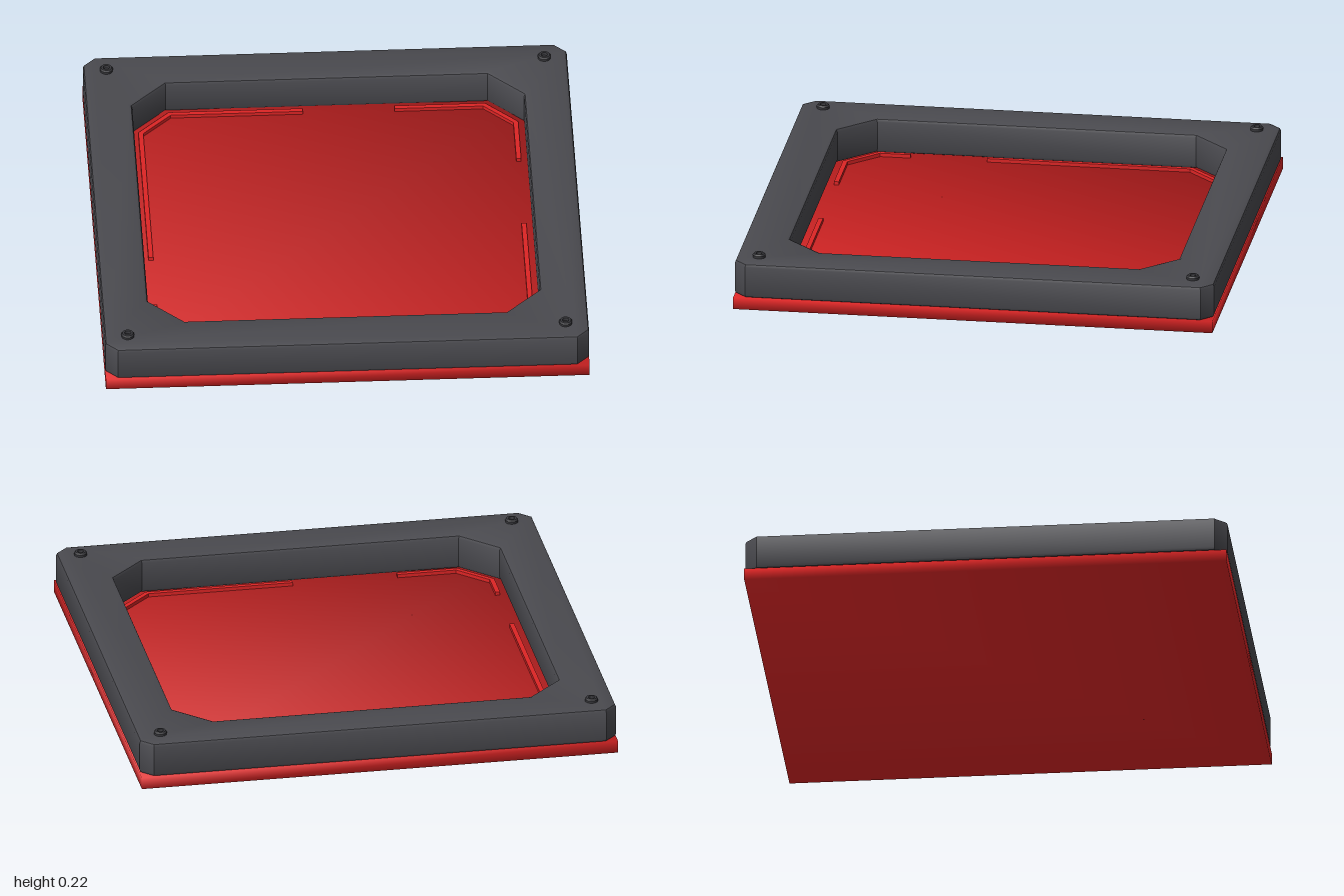
import * as THREE from 'three';
import { toCreasedNormals } from 'three/addons/utils/BufferGeometryUtils.js';

const mat = (name, color) => new THREE.MeshStandardMaterial({ name, color });

// Square outline of half-size a whose corners are cut off from c outwards
function cutSquare(a, c) {
  return [[a, -c], [a, c], [c, a], [-c, a], [-a, c], [-a, -c], [-c, -a], [c, -a]]
    .map(([x, y]) => new THREE.Vector2(x, y));
}

// Extrudes a plan shape upwards from height y
function raise(shape, y, depth, bevel) {
  const geometry = new THREE.ExtrudeGeometry(shape, {
    depth: depth - 2 * bevel, bevelEnabled: bevel > 0, bevelThickness: bevel,
    bevelSize: bevel, bevelOffset: -bevel, bevelSegments: 2,
  });
  geometry.rotateX(-Math.PI / 2).translate(0, y + bevel, 0);
  return toCreasedNormals(geometry, 0.6);
}

export function createModel() {
  const group = new THREE.Group();
  group.name = 'framedTray';
  const red = mat('red', 0xdd2525);
  const grey = mat('darkGrey', 0x4a4a4f);
  const black = mat('charcoal', 0x37373b);

  const add = (name, geometry, material) => {
    const mesh = new THREE.Mesh(geometry, material);
    mesh.name = name;
    group.add(mesh);
    return mesh;
  };

  // Base plate, shaded softly: each corner normal points diagonally outwards
  const plate = new THREE.BoxGeometry(2, 0.05, 2);
  const { position, normal } = plate.attributes;
  const n = new THREE.Vector3();
  for (let i = 0; i < position.count; i++) {
    n.fromBufferAttribute(position, i);
    n.set(Math.sign(n.x), Math.sign(n.y), Math.sign(n.z)).normalize();
    normal.setXYZ(i, n.x, n.y, n.z);
  }
  plate.translate(0, 0.025, 0);
  add('basePlate', plate, red);

  // Bevelled frame with an eight-sided opening
  const outline = new THREE.Shape(cutSquare(1, 0.95));
  outline.holes.push(new THREE.Path(cutSquare(0.81, 0.665).reverse()));
  add('frame', raise(outline, 0.05, 0.15, 0.015), grey);

  // Raised corner ribs: side signs, then where the two arms end in x and z
  const ribs = [
    [-1, -1, -0.1, 0.2],
    [1, -1, 0.28, -0.4],
    [1, 1, 0.04, 0.04],
    [-1, 1, -0.4, 0.52],
  ];
  for (const [sx, sz, endX, endZ] of ribs) {
    const edge = (a, c) => [[sx * a, endZ], [sx * a, sz * c], [sx * c, sz * a], [endX, sz * a]];
    const points = [...edge(0.785, 0.654), ...edge(0.765, 0.646).reverse()];
    const shape = new THREE.Shape(points.map(([x, z]) => new THREE.Vector2(x, -z)));
    add('rib', raise(shape, 0.05, 0.015, 0), red);
  }

  // Corner screws: domed ring with a socket
  const profile = [[0.026, 0.195], [0.027, 0.21], [0.022, 0.217], [0.013, 0.217], [0.011, 0.205], [0, 0.205]]
    .map(([r, y]) => new THREE.Vector2(r, y));
  const screw = toCreasedNormals(new THREE.LatheGeometry(profile, 20), 0.6);
  for (const x of [-0.905, 0.905]) {
    for (const z of [-0.905, 0.905]) add('screw', screw, black).position.set(x, 0, z);
  }

  return group;
}
